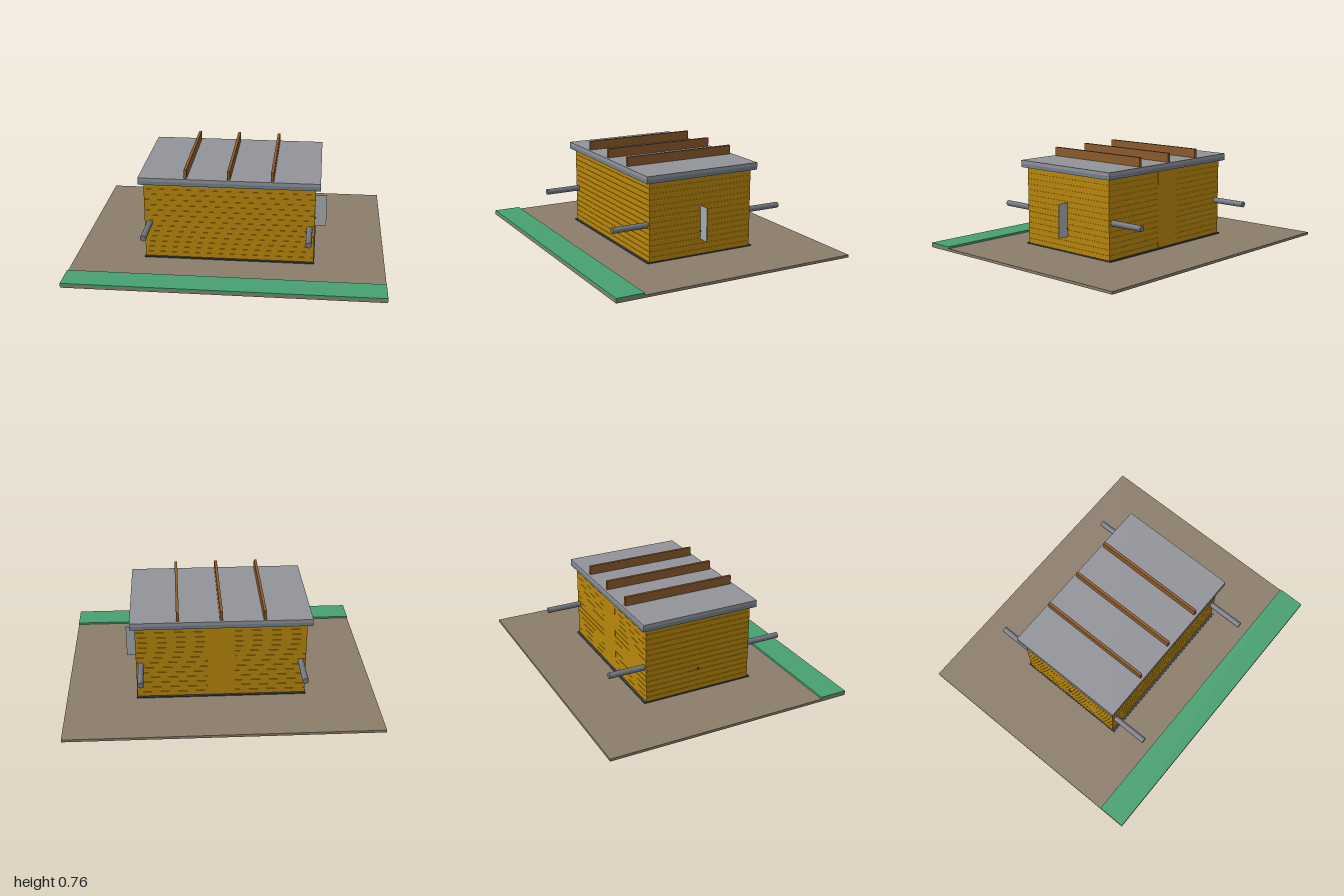
import * as THREE from 'three';

const mat = (color) => new THREE.MeshStandardMaterial({ color });

export function createModel() {
  const model = new THREE.Group();
  const wood = mat(0xb8860b), soil = mat(0x8b7d6b), grass = mat(0x46a070);
  const roofTop = mat(0x929399), slate = mat(0x708090), brown = mat(0x8b5a2b);
  const concrete = mat(0x9a9aa2), stone = mat(0x82878c), dark = mat(0x3c4046);
  const pale = mat(0xa3abae), steel = mat(0x70757f);

  const add = (name, geometry, material, x = 0, y = 0, z = 0) => {
    const mesh = new THREE.Mesh(geometry, material);
    mesh.name = name;
    mesh.position.set(x, y, z);
    model.add(mesh);
    return mesh;
  };
  // Box given by its limits along each axis
  const block = (name, material, x0, x1, y0, y1, z0, z1) =>
    add(name, new THREE.BoxGeometry(x1 - x0, y1 - y0, z1 - z0), material,
      (x0 + x1) / 2, (y0 + y1) / 2, (z0 + z1) / 2);

  // Rectangle in plan with cut corners
  const cutRect = (Type, hx, hz, c) => new Type([
    [hx - c, -hz], [hx, c - hz], [hx, hz - c], [hx - c, hz],
    [c - hx, hz], [-hx, hz - c], [-hx, c - hz], [c - hx, -hz],
  ].map(([x, z]) => new THREE.Vector2(x, z)));
  const tray = (name, material, hx, hz, cut, y0, y1, inset = 0) => {
    const shape = cutRect(THREE.Shape, hx, hz, cut);
    if (inset) shape.holes.push(cutRect(THREE.Path, hx - inset, hz - inset, cut / 2));
    const geometry = new THREE.ExtrudeGeometry(shape, { depth: y1 - y0, bevelEnabled: false });
    geometry.rotateX(-Math.PI / 2);
    add(name, geometry, material, 0, y0, 0);
  };

  // Foundation below the ground
  tray('foundationFrame', wood, 0.58, 0.4, 0.035, 0, 0.002, 0.09);
  tray('foundationFooting', concrete, 0.58, 0.4, 0.035, 0.002, 0.065);
  tray('foundationWall', stone, 0.573, 0.393, 0.03, 0.065, 0.11);
  tray('foundationSill', wood, 0.58, 0.4, 0.03, 0.11, 0.13);
  for (const sx of [-1, 1]) {
    for (const sz of [-1, 1]) {
      const long = new THREE.BoxGeometry(0.105, 0.13, 0.035);
      add('cornerBoardLong', long, wood, sx * 0.508, 0.065, sz * 0.3975);
      const short = new THREE.BoxGeometry(0.035, 0.13, 0.1);
      add('cornerBoardShort', short, wood, sx * 0.58, 0.065, sz * 0.33);
    }
  }

  // Ground and grass strip
  block('ground', soil, -1, 1, 0.13, 0.147, -0.817, 0.817);
  block('grassStrip', grass, -1, 1, 0.147, 0.16, 0.637, 0.817);
  block('basePlate', dark, -0.55, 0.55, 0.147, 0.154, -0.38, 0.38);

  // Walls: a core with stacked plank courses
  block('wallCore', wood, -0.542, 0.542, 0.15, 0.66, -0.362, 0.362);
  const courses = 14, pitch = 0.51 / courses;
  for (let i = 0; i < courses; i++) {
    const y = 0.15 + i * pitch;
    block('plankCourse', wood, -0.545, 0.545, y, y + pitch - 0.002, -0.365, 0.365);
  }
  block('backPanel', wood, -0.09, 0.09, 0.154, 0.66, -0.366, -0.36);

  // Small side pegs
  for (const s of [-1, 1]) {
    add('sidePeg', new THREE.CylinderGeometry(0.007, 0.007, 0.012, 10), dark, s * 0.545, 0.303, 0)
      .rotation.z = Math.PI / 2;
  }

  // Fin on the left end
  block('sideFin', pale, 0.54, 0.62, 0.25, 0.47, -0.0025, 0.0025);

  // Poles reaching out to front and back
  for (const sx of [-1, 1]) {
    for (const sz of [-1, 1]) {
      add('pole', new THREE.CylinderGeometry(0.019, 0.019, 0.25, 16), steel, sx * 0.513, 0.385, sz * 0.478)
        .rotation.x = Math.PI / 2;
    }
  }

  // Roof with battens
  block('roofEdge', slate, -0.575, 0.575, 0.66, 0.684, -0.395, 0.395);
  block('roofSlab', roofTop, -0.575, 0.575, 0.684, 0.706, -0.395, 0.395);
  for (const x of [-0.274, 0, 0.274]) {
    block('roofBatten', brown, x - 0.009, x + 0.009, 0.706, 0.765, -0.378, 0.378);
  }
  return model;
}
